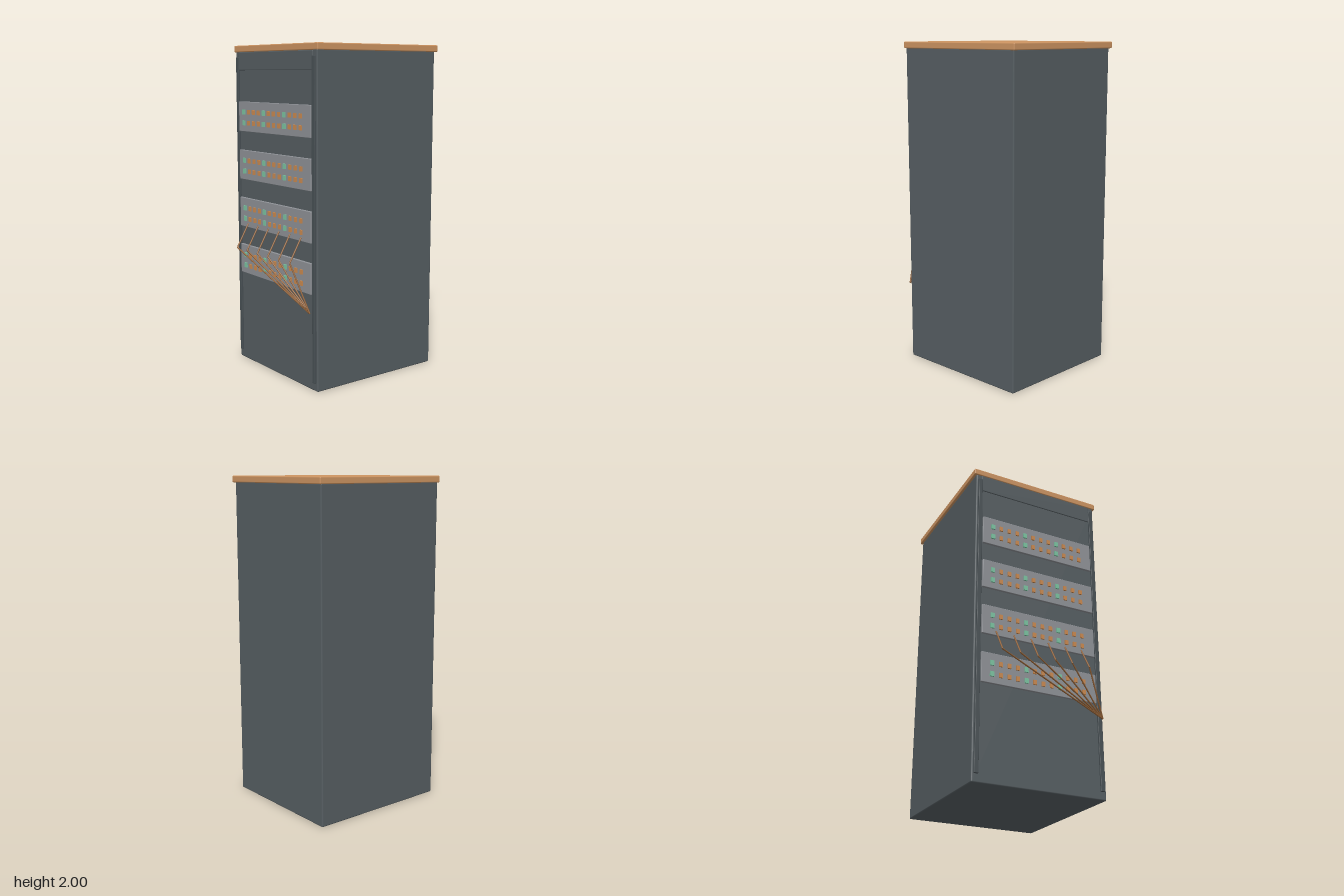
import * as THREE from 'three';
import { RoundedBoxGeometry } from 'three/addons/geometries/RoundedBoxGeometry.js';

const material = (name, color) => {
  const m = new THREE.MeshStandardMaterial({ color });
  m.name = name;
  return m;
};

export function createModel() {
  const model = new THREE.Group();
  model.name = 'patchCabinet';

  const slate = material('slate grey', 0x565e62);
  const rail = material('dark slate', 0x495155);
  const metal = material('light metal', 0x8f9297);
  const copper = material('copper top', 0xcd9461);
  const orange = material('orange port', 0xcb8a50);
  const green = material('green port', 0x7cc4a2);
  const wire = material('brown cable', 0x946338);

  // Box given by its minimum and maximum corners, with a small soft edge
  const box = (name, mat, [x0, y0, z0], [x1, y1, z1], bevel = 0, parent = model) => {
    const size = [x1 - x0, y1 - y0, z1 - z0];
    const geometry = bevel ? new RoundedBoxGeometry(...size, 2, bevel) : new THREE.BoxGeometry(...size);
    const mesh = new THREE.Mesh(geometry, mat);
    mesh.name = name;
    mesh.position.set((x0 + x1) / 2, (y0 + y1) / 2, (z0 + z1) / 2);
    parent.add(mesh);
    return mesh;
  };

  // Cabinet, overhanging top and header
  box('cabinetBody', slate, [-0.42, 0, -0.49], [0.42, 1.965, 0.402], 0.008);
  box('cabinetTop', copper, [-0.433, 1.96, -0.505], [0.433, 2, 0.408], 0.006);
  box('header', slate, [-0.385, 1.85, 0.39], [0.385, 1.96, 0.407], 0.004);

  // Upright mounting rails
  for (const side of [-1, 1]) {
    const x = side * 0.394;
    box('mountingRail', rail, [x - 0.013, 0.05, 0.39], [x + 0.013, 1.93, 0.413], 0.003);
  }

  // Patch panels, each with two rows of twelve ports
  for (let p = 0; p < 4; p++) {
    const panel = new THREE.Group();
    panel.name = 'patchPanel';
    model.add(panel);
    const y = 1.567 - p * 0.3;
    box('panelPlate', metal, [-0.375, y - 0.092, 0.39], [0.375, y + 0.092, 0.416], 0.003, panel);
    for (let row = 0; row < 2; row++) {
      for (let col = 0; col < 12; col++) {
        const isGreen = col % 4 === 0;
        const px = -0.312 + col * 0.0545;
        const py = y + 0.029 - row * 0.067;
        const w = isGreen ? 0.012 : 0.0105;
        const h = isGreen ? 0.015 : 0.014;
        box('port', isGreen ? green : orange,
          [px - w, py - h, 0.41], [px + w, py + h, 0.425], 0, panel);
      }
    }
  }

  // Cables droop out of the third panel and gather at the right-hand rail
  const segment = (a, b, parent) => {
    const direction = b.clone().sub(a);
    const mesh = new THREE.Mesh(new THREE.CylinderGeometry(0.0045, 0.0045, direction.length(), 8), wire);
    mesh.name = 'cableSegment';
    mesh.position.copy(a).add(b).multiplyScalar(0.5);
    mesh.quaternion.setFromUnitVectors(new THREE.Vector3(0, 1, 0), direction.normalize());
    parent.add(mesh);
  };
  const gather = new THREE.Vector3(0.396, 0.475, 0.44);
  for (let i = 0; i < 6; i++) {
    const cable = new THREE.Group();
    cable.name = 'cable';
    model.add(cable);
    const x = -0.285 + i * 0.1135;
    const bend = new THREE.Vector3(x, 0.757, 0.498);
    segment(new THREE.Vector3(x, 0.9, 0.415), bend, cable);
    segment(bend, gather, cable);
  }

  return model;
}
